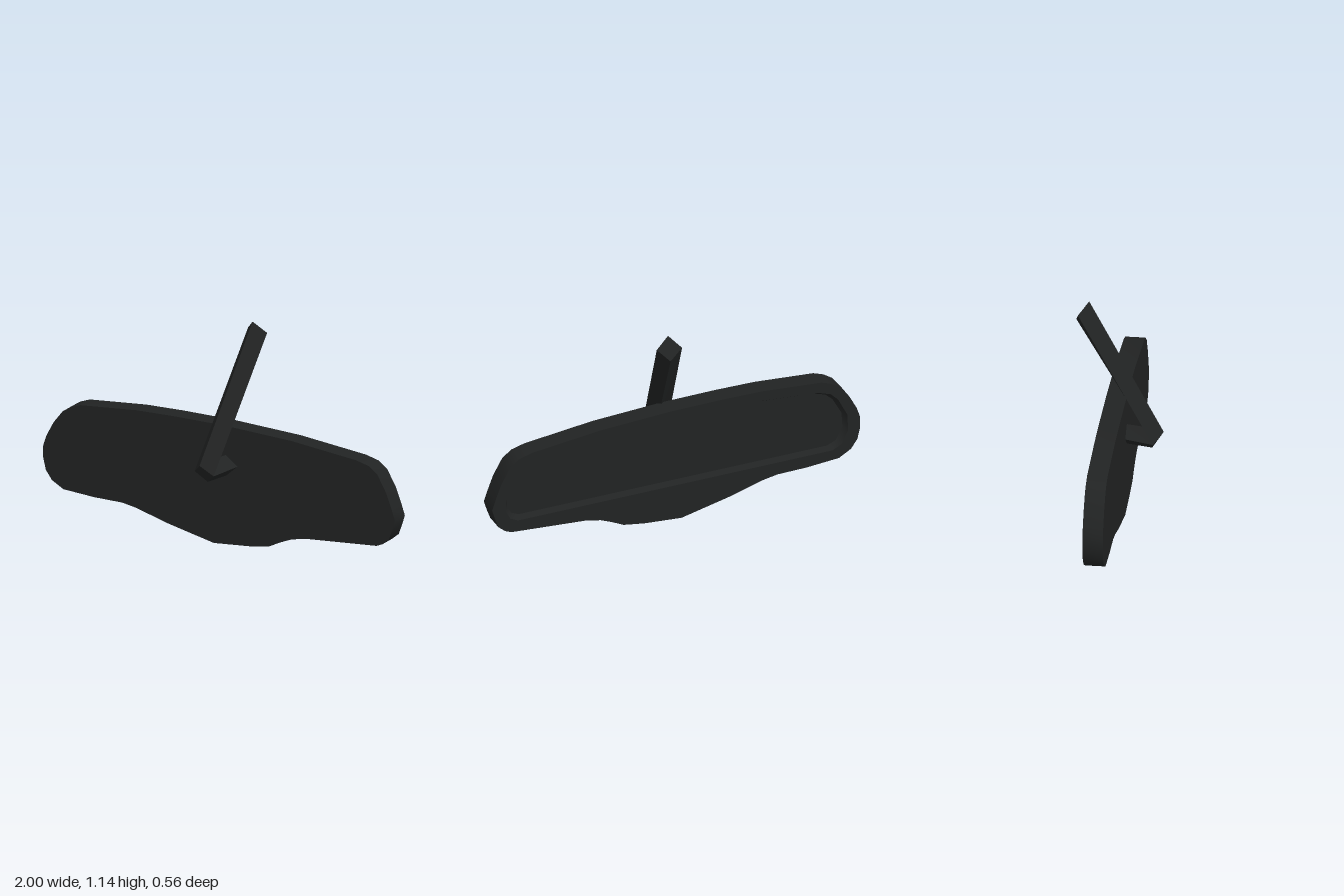
import * as THREE from 'three';

const material = new THREE.MeshStandardMaterial({ color: 0x212323 });

// Skin between consecutive closed rings of [x, y, z] points
function loft(rings, flat, capStart) {
  const n = rings[0].length;
  const index = [];
  for (let r = 0; r < rings.length - 1; r++) {
    for (let i = 0; i < n; i++) {
      const j = (i + 1) % n;
      const a = r * n, b = a + n;
      index.push(a + i, b + i, a + j, a + j, b + i, b + j);
    }
  }
  if (capStart) for (let i = 1; i < n - 1; i++) index.push(0, i, i + 1);
  let geo = new THREE.BufferGeometry();
  geo.setAttribute('position', new THREE.Float32BufferAttribute(rings.flat(2), 3));
  geo.setIndex(index);
  if (flat) geo = geo.toNonIndexed();
  geo.computeVertexNormals();
  return geo;
}

// Flat panel at depth z, facing +z or (back = true) -z
function panel(points, z, back, holePoints) {
  const toVec = (p) => new THREE.Vector2(p[0], p[1]);
  const shape = new THREE.Shape(points.map(toVec));
  if (holePoints) shape.holes.push(new THREE.Path(holePoints.map(toVec)));
  const geo = new THREE.ShapeGeometry(shape);
  if (back) geo.setIndex(Array.from(geo.index.array).reverse());
  geo.translate(0, 0, z);
  geo.computeVertexNormals();
  return geo;
}

function add(parent, name, geometry) {
  const mesh = new THREE.Mesh(geometry, material);
  mesh.name = name;
  parent.add(mesh);
}

export function createModel() {
  const model = new THREE.Group();
  model.name = 'rearViewMirror';

  // Housing outline with a chin at the bottom, counter-clockwise
  const widen = (p) => [p[0] / 0.985, p[1]];
  const outline = [
    [-0.03, 0], [0.17, 0.015], [0.285, 0.033], [0.35, 0.065], [0.41, 0.09], [0.49, 0.107],
    [0.895, 0.135], [0.93, 0.15], [0.965, 0.18], [0.985, 0.235], [1, 0.285],
    [0.98, 0.345], [0.95, 0.425], [0.9, 0.515], [0.85, 0.553], [0.78, 0.572],
    [0.41, 0.615], [0.03, 0.635], [-0.26, 0.638], [-0.47, 0.635], [-0.79, 0.61],
    [-0.845, 0.59], [-0.89, 0.56], [-0.94, 0.495], [-0.98, 0.42], [-1, 0.36],
    [-1, 0.3], [-0.985, 0.235], [-0.95, 0.185], [-0.885, 0.147], [-0.71, 0.133],
    [-0.55, 0.13], [-0.47, 0.115], [-0.3, 0.064],
  ].map(widen);

  // Opening for the glass and the smaller glass edge
  const opening = [
    [-0.85, 0.2], [0.86, 0.195], [0.9, 0.215], [0.925, 0.26], [0.925, 0.31],
    [0.9, 0.39], [0.86, 0.465], [0.82, 0.5], [0.76, 0.52], [0.41, 0.56],
    [0.03, 0.58], [-0.26, 0.583], [-0.47, 0.58], [-0.77, 0.555], [-0.84, 0.53],
    [-0.88, 0.49], [-0.93, 0.39], [-0.935, 0.3], [-0.9, 0.225],
  ].map(widen);
  const glass = opening.map(([x, y]) => [x * 0.98, 0.38 + (y - 0.38) * 0.91]);
  const at = (points, z) => points.map(([x, y]) => [x, y, z]);

  // Housing is swivelled about the vertical
  const half = 0.052, glassZ = -0.022;
  const head = new THREE.Group();
  head.name = 'mirrorHead';
  head.rotation.y = 0.23;
  model.add(head);
  add(head, 'housingFront', panel(outline, half, false));
  add(head, 'housingEdge', loft([at(outline, half), at(outline, -half)], false));
  add(head, 'rim', panel(outline, -half, true, opening));
  add(head, 'bezel', loft([at(opening, -half), at(glass, glassZ)], false));
  add(head, 'glass', panel(glass, glassZ, true));

  // Diamond-section arm, bent at the elbow to meet the housing
  const diamond = (front, side, back) => [
    [0.05, front[1], front[0]],
    [0.115, side[1], side[0]],
    [0.05, back[1], back[0]],
    [-0.015, side[1], side[0]],
  ];
  add(model, 'mountingArm', loft([
    diamond([-0.16, 1.14], [-0.198, 1.085], [-0.23, 1.03]),
    diamond([0.24, 0.47], [0.205, 0.42], [0.13, 0.48]),
    diamond([0.178, 0.37], [0.205, 0.42], [0.13, 0.48]),
    diamond([0.01, 0.37], [0.01, 0.428], [0.01, 0.48]),
  ], true, true));

  return model;
}
